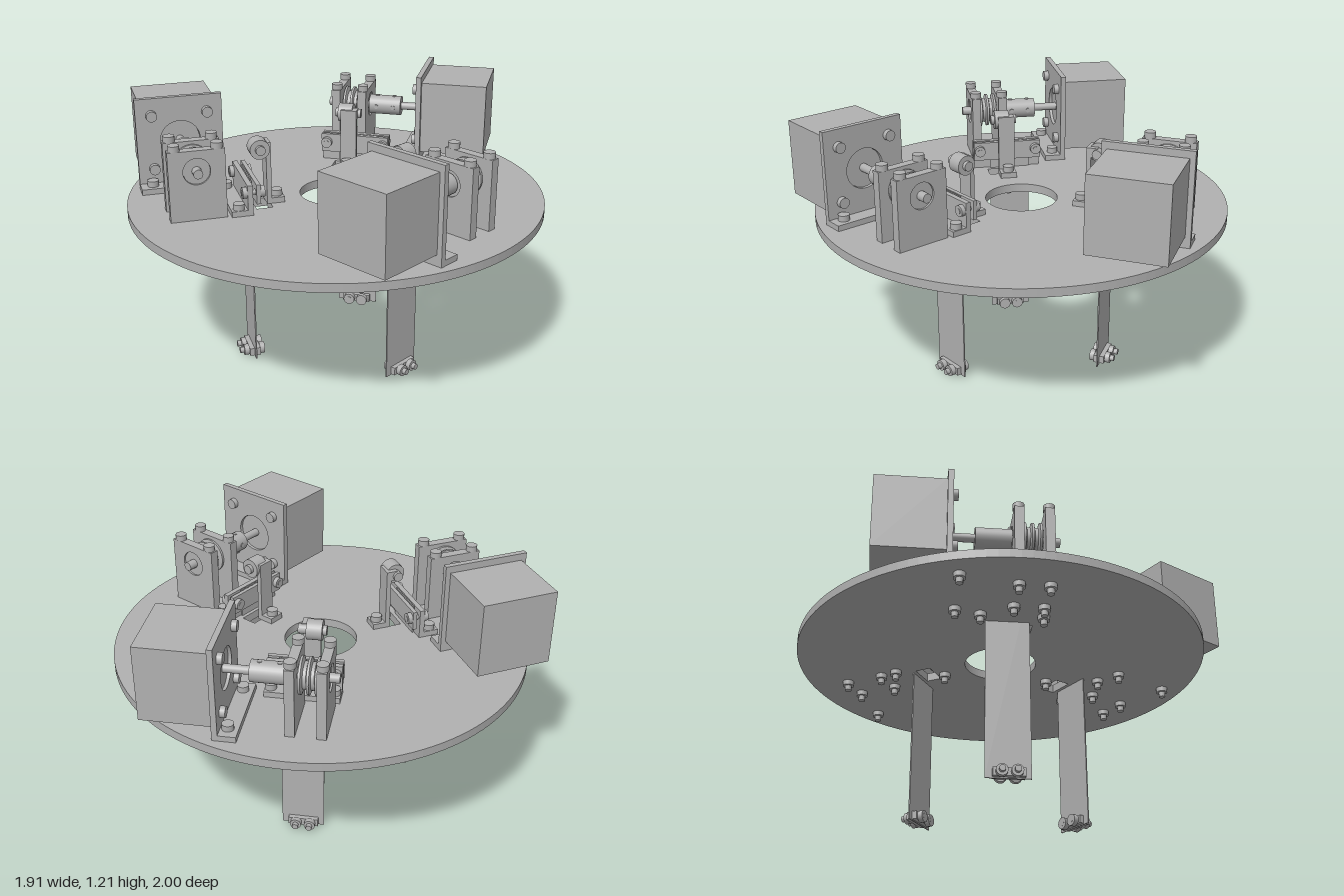
import * as THREE from 'three';

const metal = new THREE.MeshStandardMaterial({ color: 0xb0b0b0 });
metal.name = 'grey metal';
const film = new THREE.MeshStandardMaterial({ color: 0xb0b0b0, side: THREE.DoubleSide });
film.name = 'grey strip';

const CENTRE_Z = 0.035;   // centre of the round deck
const AXIS_X = 0.666, AXIS_Y = 1.005; // drive axis

function add(parent, name, geo, mat = metal) {
  const m = new THREE.Mesh(geo, mat);
  m.name = name;
  parent.add(m);
  return m;
}

// Box given by its limits on each axis
function box(parent, name, x0, x1, y0, y1, z0, z1, mat) {
  const g = new THREE.BoxGeometry(x1 - x0, y1 - y0, z1 - z0);
  g.translate((x0 + x1) / 2, (y0 + y1) / 2, (z0 + z1) / 2);
  return add(parent, name, g, mat);
}

// Cylinder along an axis from a to b; p and q are the other two coordinates in xyz order
function rod(parent, name, axis, r, a, b, p, q, seg = 20) {
  const g = new THREE.CylinderGeometry(r, r, b - a, seg);
  const mid = (a + b) / 2;
  if (axis === 'x') g.rotateZ(-Math.PI / 2).translate(mid, p, q);
  else if (axis === 'y') g.translate(p, mid, q);
  else g.rotateX(Math.PI / 2).translate(p, q, mid);
  return add(parent, name, g);
}

function rectPath(T, x0, x1, y0, y1) {
  const p = new T();
  p.moveTo(x0, y0);
  p.lineTo(x1, y0);
  p.lineTo(x1, y1);
  p.lineTo(x0, y1);
  p.closePath();
  return p;
}

// Upright plate facing z with a round bore on the drive axis
function boredPlate(parent, name, x0, x1, y0, y1, z0, z1, r) {
  const s = rectPath(THREE.Shape, x0, x1, y0, y1);
  const bore = new THREE.Path();
  bore.absarc(AXIS_X, AXIS_Y, r, 0, Math.PI * 2, true);
  s.holes.push(bore);
  const g = new THREE.ExtrudeGeometry(s, { depth: z1 - z0, bevelEnabled: false, curveSegments: 24 });
  g.translate(0, 0, z0);
  return add(parent, name, g);
}

// Vertical fastener through the deck: head above, nut and shank end below
function deckBolt(parent, x, z, top) {
  rod(parent, 'boltHead', 'y', 0.026, top, top + 0.027, x, z, 16);
  rod(parent, 'deckNut', 'y', 0.027, 0.717, 0.742, x, z, 16);
  rod(parent, 'boltEnd', 'y', 0.016, 0.693, 0.72, x, z, 12);
}

function buildDeck() {
  const s = new THREE.Shape();
  s.absarc(0, 0, 0.955, 0, Math.PI * 2, false);
  const hole = new THREE.Path();
  hole.absarc(0, 0, 0.168, 0, Math.PI * 2, true);
  s.holes.push(hole);
  // one slot beneath each guide roller
  for (let i = 0; i < 3; i++) {
    const a = i * Math.PI * 2 / 3, c = Math.cos(a), n = Math.sin(a);
    const pts = [[0.325, -0.1], [0.325, 0.02], [0.4, 0.02], [0.4, -0.1]]
      .map(([x, z]) => new THREE.Vector2(x * c + z * n, -x * n + z * c));
    s.holes.push(new THREE.Path(pts));
  }
  const g = new THREE.ExtrudeGeometry(s, { depth: 0.04, bevelEnabled: false, curveSegments: 64 });
  g.rotateX(Math.PI / 2).translate(0, 0.78, 0);
  const m = new THREE.Group();
  add(m, 'deckPlate', g);
  m.name = 'deck';
  return m;
}

function buildMotor() {
  const g = new THREE.Group();
  g.name = 'motor';
  box(g, 'motorBody', 0.49, 0.842, 0.83, 1.18, 0.345, 0.657);
  boredPlate(g, 'motorBracket', 0.467, 0.866, 0.78, 1.213, 0.32, 0.345, 0.093);
  rod(g, 'motorPilot', 'z', 0.092, 0.334, 0.346, AXIS_X, AXIS_Y, 32);
  box(g, 'bracketFoot', 0.467, 0.866, 0.78, 0.806, 0.243, 0.321);
  for (const sx of [-1, 1]) {
    deckBolt(g, AXIS_X + sx * 0.143, 0.288, 0.806);
    for (const sy of [-1, 1])
      rod(g, 'motorScrew', 'z', 0.025, 0.296, 0.32, AXIS_X + sx * 0.128, AXIS_Y + sy * 0.128, 16);
  }
  rod(g, 'motorShaft', 'z', 0.019, 0.2, 0.34, AXIS_X, AXIS_Y);
  return g;
}

function buildDrive() {
  const g = new THREE.Group();
  g.name = 'pulleyDrive';
  // coupler with set screws
  rod(g, 'coupler', 'z', 0.048, 0.058, 0.217, AXIS_X, AXIS_Y, 28);
  for (const z of [0.095, 0.18]) {
    rod(g, 'setScrew', 'y', 0.011, AXIS_Y + 0.04, AXIS_Y + 0.05, AXIS_X, z, 10);
    rod(g, 'setScrew', 'x', 0.011, AXIS_X - 0.05, AXIS_X - 0.04, AXIS_Y, z, 10);
  }
  rod(g, 'pulleyShaft', 'z', 0.021, -0.153, 0.08, AXIS_X, AXIS_Y);
  // bearing supports
  for (const z0 of [-0.116, 0.016]) {
    const z1 = z0 + 0.042;
    boredPlate(g, 'bearingSupport', 0.54, 0.79, 0.78, 1.1, z0, z1, 0.06);
    rod(g, 'bearing', 'z', 0.0595, z0 + 0.008, z1 - 0.008, AXIS_X, AXIS_Y, 28);
    for (const x of [0.572, 0.758]) deckBolt(g, x, z0 + 0.021, 1.1);
  }
  // grooved pulley
  const profile = [[0, -0.04], [0.082, -0.04], [0.082, -0.03], [0.06, -0.024], [0.06, -0.01],
    [0.08, -0.005], [0.08, 0.005], [0.06, 0.01], [0.06, 0.024], [0.082, 0.03], [0.082, 0.04], [0, 0.04]]
    .flatMap(([r, y], i, all) => {
      const v = new THREE.Vector2(r, y);
      return i === 0 || i === all.length - 1 ? [v] : [v, v.clone()]; // doubled points keep edges crisp
    });
  const lathe = new THREE.LatheGeometry(profile, 32);
  lathe.rotateX(Math.PI / 2).translate(AXIS_X, AXIS_Y, -0.029);
  add(g, 'pulley', lathe);
  return g;
}

function buildStrip() {
  const g = new THREE.Group();
  g.name = 'hangingStrip';
  box(g, 'strip', 0.417, 0.423, 0.005, 0.92, -0.05, 0.147, film);
  // upper clamp on the deck
  box(g, 'clampBar', 0.393, 0.412, 0.83, 0.92, -0.132, 0.2);
  box(g, 'clampBracket', 0.428, 0.452, 0.78, 0.92, -0.132, 0.2);
  box(g, 'clampFoot', 0.451, 0.524, 0.78, 0.806, -0.132, 0.2);
  for (const z of [-0.104, 0.174]) {
    rod(g, 'clampBolt', 'x', 0.013, 0.37, 0.475, 0.88, z, 12);
    rod(g, 'clampBoltHead', 'x', 0.026, 0.372, 0.393, 0.88, z, 16);
    rod(g, 'clampNut', 'x', 0.026, 0.452, 0.472, 0.88, z, 16);
    deckBolt(g, 0.488, z, 0.806);
  }
  // lower clamp at the end of the strip
  box(g, 'endClampInner', 0.395, 0.417, 0.01, 0.047, -0.024, 0.115);
  box(g, 'endClampOuter', 0.423, 0.445, 0.01, 0.047, -0.024, 0.115);
  for (const z of [0.013, 0.078]) {
    rod(g, 'endBolt', 'x', 0.014, 0.37, 0.487, 0.028, z, 12);
    rod(g, 'endBoltHead', 'x', 0.028, 0.371, 0.395, 0.028, z, 16);
    rod(g, 'endNut', 'x', 0.026, 0.445, 0.468, 0.028, z, 16);
  }
  return g;
}

function buildGuide() {
  const g = new THREE.Group();
  g.name = 'guideRoller';
  box(g, 'guideFoot', 0.258, 0.34, 0.78, 0.806, -0.02, 0.058);
  deckBolt(g, 0.287, 0.02, 0.806);
  box(g, 'guideArm', 0.318, 0.34, 0.8, 1.07, -0.02, 0.058);
  box(g, 'guideArmTip', 0.318, 0.37, 1.025, 1.07, 0.034, 0.058);
  rod(g, 'roller', 'z', 0.045, -0.035, 0.034, 0.37, 1.045, 28);
  rod(g, 'rollerPin', 'z', 0.022, -0.052, 0.072, 0.37, 1.045, 16);
  return g;
}

export function createModel() {
  const model = new THREE.Group();
  model.name = 'threeMotorWinchPlatform';
  const root = new THREE.Group();
  root.name = 'platform';
  root.position.z = CENTRE_Z;
  model.add(root);
  root.add(buildDeck());
  // three identical winch stations around the deck
  for (let i = 0; i < 3; i++) {
    const station = new THREE.Group();
    station.name = 'winchStation' + (i + 1);
    const inner = new THREE.Group();
    inner.name = 'stationParts';
    inner.position.z = -CENTRE_Z;
    inner.add(buildMotor(), buildDrive(), buildStrip(), buildGuide());
    station.add(inner);
    station.rotation.y = i * Math.PI * 2 / 3;
    root.add(station);
  }
  return model;
}
